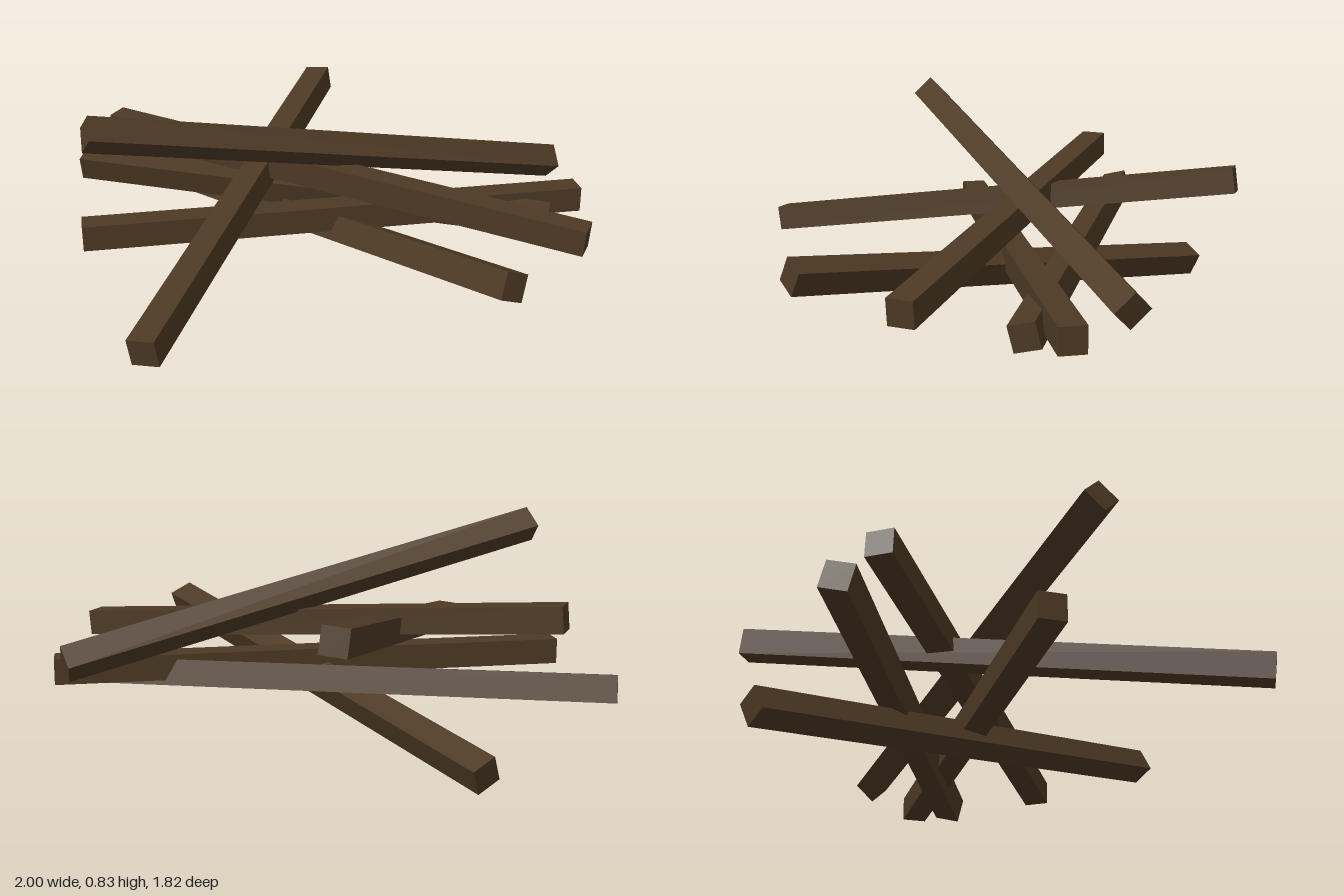
import * as THREE from 'three';

const LENGTH = 1.99;
const THICK = 0.1;

export function createModel() {
  const group = new THREE.Group();
  group.name = 'logPile';
  const wood = new THREE.MeshStandardMaterial({ color: 0x4d3924 });
  wood.name = 'dark brown wood';
  const geometry = new THREE.BoxGeometry(THICK, THICK, LENGTH);

  // A square beam running from one end centre to the other, rolled about its own axis
  function beam(name, from, to, rollDegrees) {
    const a = new THREE.Vector3(...from);
    const b = new THREE.Vector3(...to);
    const along = b.clone().sub(a).normalize();
    const side = new THREE.Vector3(0, 1, 0).cross(along).normalize();
    const up = along.clone().cross(side);
    const mesh = new THREE.Mesh(geometry, wood);
    mesh.name = name;
    mesh.quaternion.setFromRotationMatrix(new THREE.Matrix4().makeBasis(side, up, along));
    mesh.rotateZ(THREE.MathUtils.degToRad(rollDegrees));
    mesh.position.copy(a).add(b).multiplyScalar(0.5);
    group.add(mesh);
  }

  // Six beams heaped across one another
  beam('levelBeam', [-0.99, 0.28, 0], [1, 0.28, 0], 0);
  beam('topBeam', [-0.945, 0.765, 0.205], [0.955, 0.35, -0.21], 45);
  beam('risingBeam', [-0.805, 0.253, 0.88], [0.085, 0.553, -0.88], -5);
  beam('lowBeam', [-0.435, 0.07, -0.87], [0.44, 0.37, 0.87], -23);
  beam('backBeam', [-0.97, 0.295, -0.69], [0.835, 0.24, 0.125], 14);
  beam('crossBeam', [-0.83, 0.525, -0.537], [0.835, 0.35, 0.535], 0);

  return group;
}
